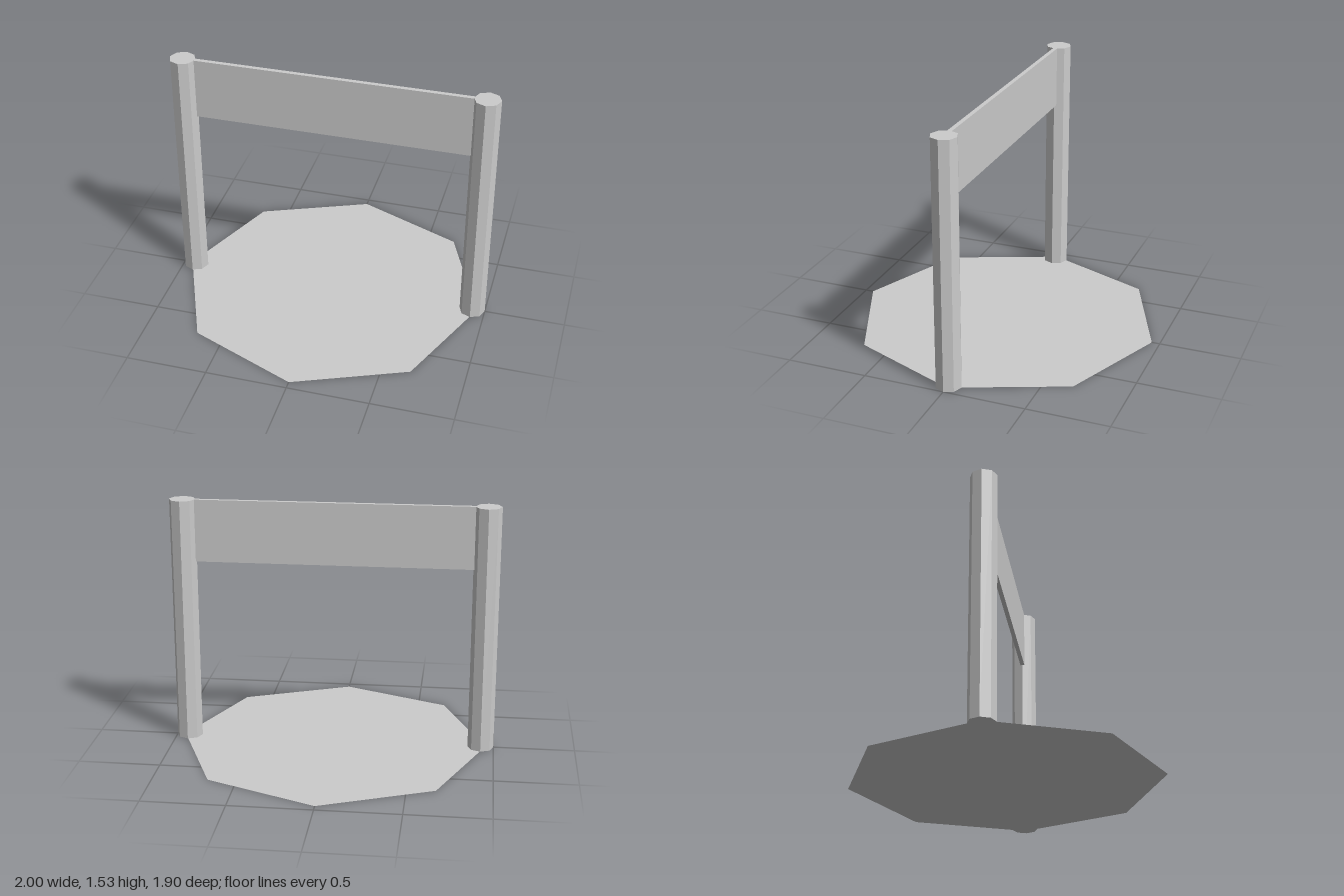
import * as THREE from 'three';

const HEIGHT = 1.53;
const POST_X = 0.92;

export function createModel() {
  const group = new THREE.Group();
  const material = new THREE.MeshStandardMaterial({ color: 0xcccccc, flatShading: true });
  const add = (name, geometry, x, y, mat = material) => {
    const mesh = new THREE.Mesh(geometry, mat);
    mesh.name = name;
    mesh.position.set(x, y, 0);
    group.add(mesh);
  };

  // Eight-sided posts, one on each side
  const post = new THREE.CylinderGeometry(0.08, 0.08, HEIGHT, 8);
  add('leftPost', post, POST_X, HEIGHT / 2);
  add('rightPost', post, -POST_X, HEIGHT / 2);

  // Thin banner board between the posts, flush with their tops
  const boardHeight = 0.385;
  add('bannerBoard', new THREE.BoxGeometry(1.69, boardHeight, 0.027), 0, HEIGHT - boardHeight / 2);

  // Flat octagonal ground plate, seen from both sides
  const plateMaterial = material.clone();
  plateMaterial.side = THREE.DoubleSide;
  add('groundPlate', new THREE.CircleGeometry(0.95, 8).rotateX(-Math.PI / 2), 0, 0, plateMaterial);

  return group;
}
